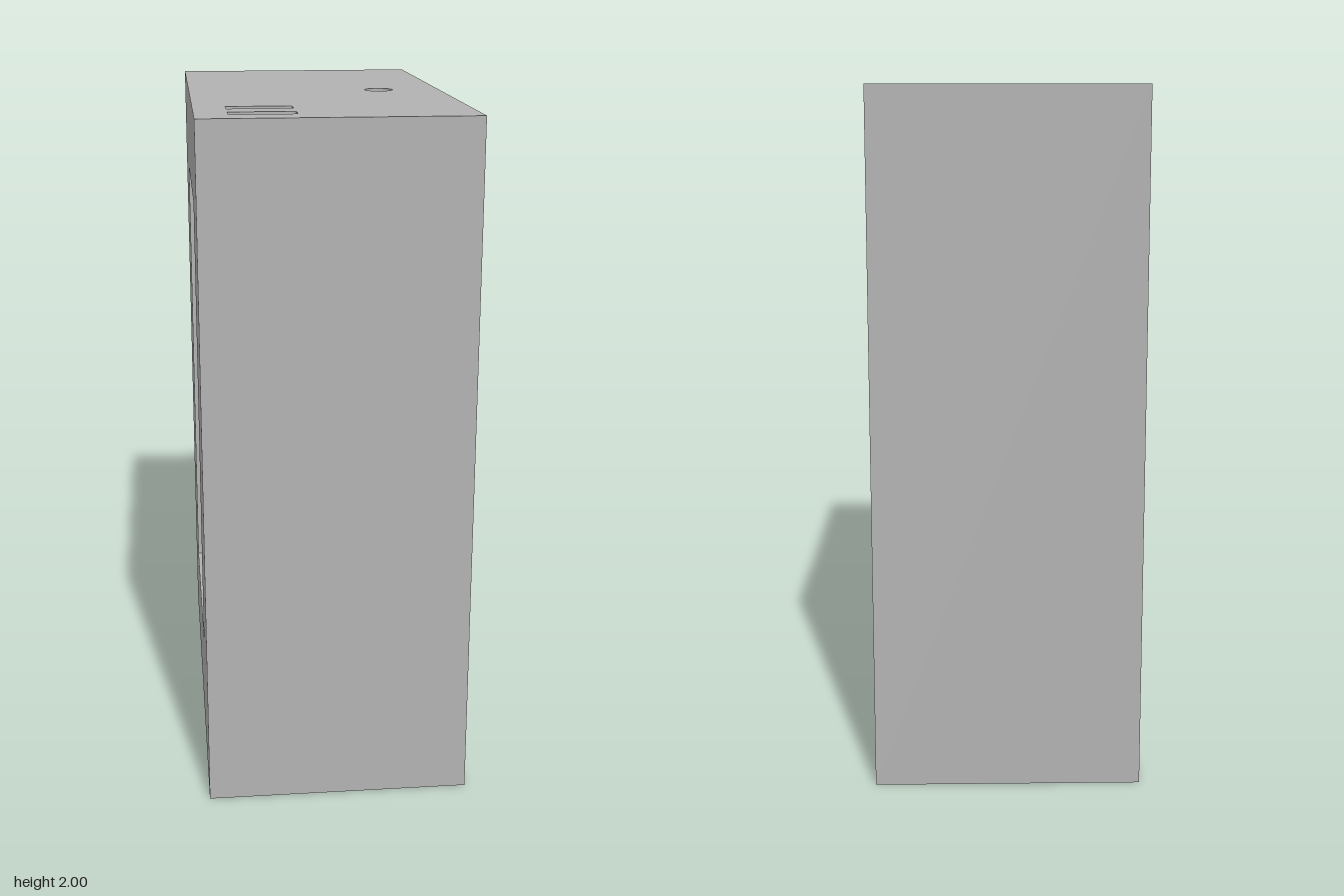
import * as THREE from 'three';
import { mergeGeometries } from 'three/addons/utils/BufferGeometryUtils.js';

const W = 0.768, H = 2, D = 1.456;

// Counter-clockwise outlines
const rect = (x0, y0, x1, y1) =>
  [[x0, y0], [x1, y0], [x1, y1], [x0, y1]].map(([x, y]) => new THREE.Vector2(x, y));
const circle = (cx, cy, r, n = 48) => Array.from({ length: n }, (_, i) => {
  const a = (i / n) * Math.PI * 2;
  return new THREE.Vector2(cx + r * Math.cos(a), cy + r * Math.sin(a));
});

// Inward-facing walls running back from an outline
function pocketWalls(points, depth) {
  const pos = [];
  points.forEach((a, i) => {
    const b = points[(i + 1) % points.length];
    pos.push(a.x, a.y, 0, b.x, b.y, 0, b.x, b.y, -depth);
    pos.push(a.x, a.y, 0, b.x, b.y, -depth, a.x, a.y, -depth);
  });
  const g = new THREE.BufferGeometry();
  g.setAttribute('position', new THREE.Float32BufferAttribute(pos, 3));
  g.computeVertexNormals();
  return g;
}

function flat(shape) {
  const g = new THREE.ShapeGeometry(shape).toNonIndexed();
  g.deleteAttribute('uv');
  return g;
}

// Flat panel facing +z with closed recesses sunk into it
function panel(w, h, recesses = []) {
  const face = new THREE.Shape(rect(-w / 2, -h / 2, w / 2, h / 2));
  const parts = [];
  for (const { outline, depth } of recesses) {
    face.holes.push(new THREE.Path(outline));
    parts.push(pocketWalls(outline, depth));
    parts.push(flat(new THREE.Shape(outline)).translate(0, 0, -depth));
  }
  parts.push(flat(face));
  return mergeGeometries(parts);
}

export function createModel() {
  const model = new THREE.Group();
  model.name = 'housing';
  const grey = new THREE.MeshStandardMaterial({ color: 0xb2b2b2 });
  grey.name = 'grey';

  const add = (name, geometry, x, y, z) => {
    const mesh = new THREE.Mesh(geometry.translate(x, y, z), grey);
    mesh.name = name;
    model.add(mesh);
  };

  // Plain walls and base
  add('frontWall', panel(W, H), 0, H / 2, D / 2);
  add('backWall', panel(W, H).rotateY(Math.PI), 0, H / 2, -D / 2);
  add('leftWall', panel(D, H).rotateY(Math.PI / 2), W / 2, H / 2, 0);
  add('base', panel(W, D).rotateX(Math.PI / 2), 0, 0, 0);

  // Side wall with the large rectangular recess
  const bay = { outline: rect(-0.363, -0.672, 0.363, 0.724), depth: 0.4 };
  add('recessedWall', panel(D, H, [bay]).rotateY(-Math.PI / 2), -W / 2, H / 2, 0);

  // Top with two slots and a round hole
  const slots = [0.467, 0.605].map((z) => (
    { outline: rect(-0.292, -z - 0.029, -0.106, -z + 0.029), depth: 0.12 }));
  const hole = { outline: circle(0.198, 0, 0.043), depth: 0.12 };
  add('topWithSlotsAndHole', panel(W, D, [...slots, hole]).rotateX(-Math.PI / 2), 0, H, 0);

  return model;
}
